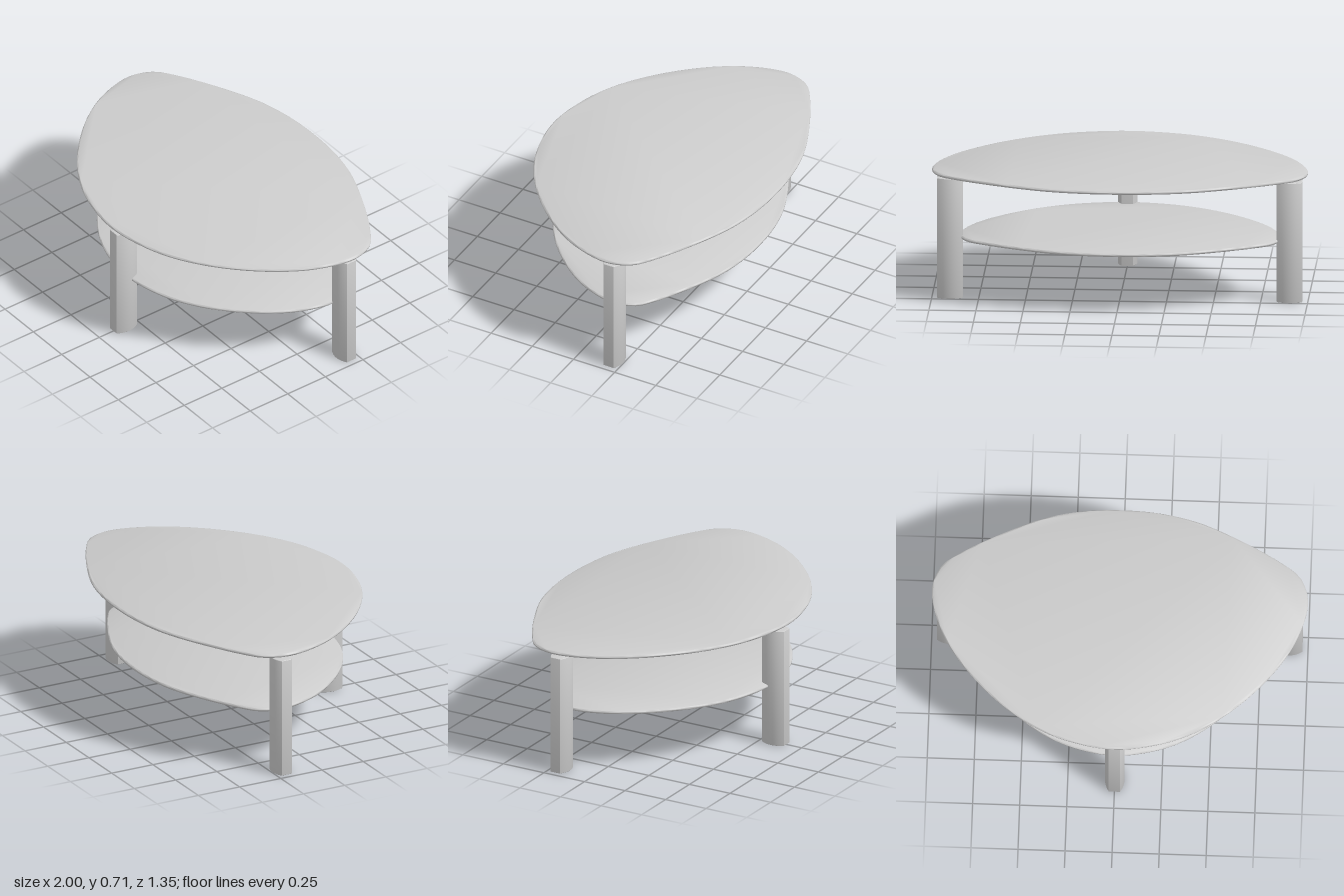
import * as THREE from 'three';
import { toCreasedNormals } from 'three/addons/utils/BufferGeometryUtils.js';

const grey = new THREE.MeshStandardMaterial({ color: 0xcccccc });
grey.name = 'light grey';

// Extrudes a plan outline upwards from y = 0, with a small bevel inside its bounds
function slab(shape, height, bevel, crease) {
  const geometry = new THREE.ExtrudeGeometry(shape, {
    depth: height - 2 * bevel, curveSegments: 12,
    bevelThickness: bevel, bevelSize: bevel, bevelOffset: -bevel, bevelSegments: 3,
  });
  geometry.translate(0, 0, bevel).rotateX(-Math.PI / 2);
  return toCreasedNormals(geometry, crease);
}

// Rounded triangular plan shared by the top and the shelf, as [x, z] of one half
function plateShape(scale) {
  const half = [
    [0.2, 0.645], [0.4, 0.575], [0.62, 0.43], [0.84, 0.2], [0.955, 0],
    [1, -0.2], [0.955, -0.33], [0.86, -0.405], [0.64, -0.525], [0.4, -0.625], [0.2, -0.668],
  ];
  const outline = [[0, 0.672], ...half, [0, -0.68], ...half.map(([x, z]) => [-x, z]).reverse()];
  const curve = new THREE.CatmullRomCurve3(
    outline.map(([x, z]) => new THREE.Vector3(x * scale, -z * scale, 0)), true);
  const points = curve.getSpacedPoints(120).slice(0, -1);
  return new THREE.Shape(points.map((p) => new THREE.Vector2(p.x, p.y)));
}

// Leg section: bowed long sides and narrow flat ends, long axis along x
function legShape() {
  const a = 0.0675, b = 0.03, bow = 0.074;
  const shape = new THREE.Shape();
  shape.moveTo(a, -b);
  shape.lineTo(a, b);
  shape.quadraticCurveTo(0, bow, -a, b);
  shape.lineTo(-a, -b);
  shape.quadraticCurveTo(0, -bow, a, -b);
  return shape;
}

export function createModel() {
  const table = new THREE.Group();
  table.name = 'coffeeTable';

  function add(parent, name, geometry, y) {
    const mesh = new THREE.Mesh(geometry, grey);
    mesh.name = name;
    mesh.position.y = y;
    parent.add(mesh);
  }

  // Table top and lower shelf
  add(table, 'tableTop', slab(plateShape(1), 0.018, 0.007, 1.2), 0.688);
  add(table, 'lowerShelf', slab(plateShape(0.853), 0.018, 0.006, 1.2), 0.323);

  // Three legs pointing outwards, each with a pin that carries the top
  const legGeometry = slab(legShape(), 0.656, 0.004, 0.5);
  const pinGeometry = new THREE.CylinderGeometry(0.016, 0.016, 0.045, 20);
  const legs = [
    ['frontLeg', 0, 0.59, -Math.PI / 2],
    ['leftLeg', 0.903, -0.197, 0],
    ['rightLeg', -0.903, -0.197, Math.PI],
  ];
  for (const [name, x, z, turn] of legs) {
    const leg = new THREE.Group();
    leg.name = name;
    leg.position.set(x, 0, z);
    leg.rotation.y = turn;
    add(leg, 'post', legGeometry, 0);
    add(leg, 'pin', pinGeometry, 0.672);
    table.add(leg);
  }
  return table;
}
